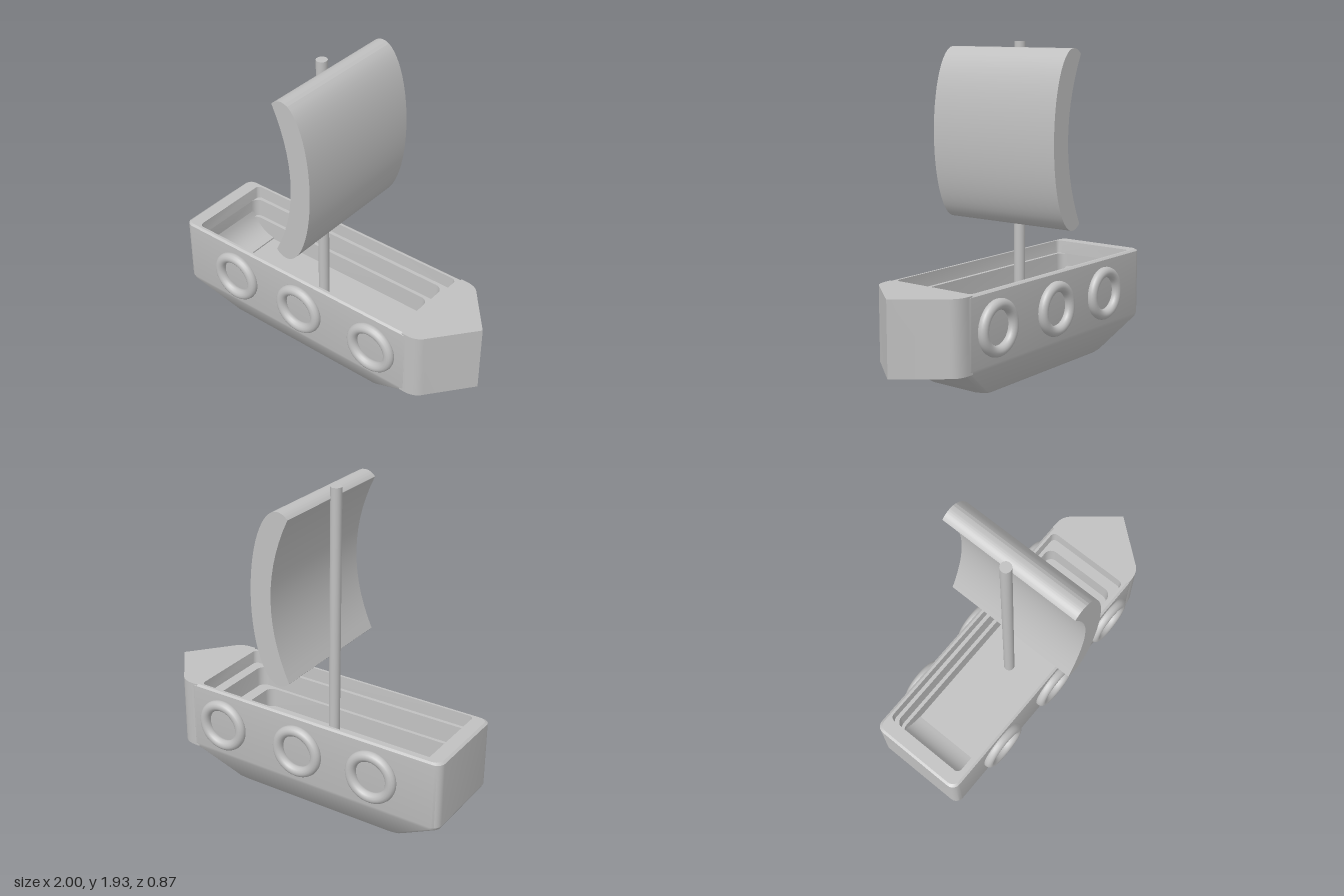
import * as THREE from 'three';
import { toCreasedNormals } from 'three/addons/utils/BufferGeometryUtils.js';

const CORNER = 6;

// Rounded rectangle at height y, running counterclockwise seen from above
function ring(y, x0, x1, hz, r) {
  const points = [];
  const centres = [[x1 - r, -hz + r], [x0 + r, -hz + r], [x0 + r, hz - r], [x1 - r, hz - r]];
  centres.forEach(([cx, cz], k) => {
    for (let i = 0; i <= CORNER; i++) {
      const a = (k + i / CORNER) * Math.PI / 2;
      points.push([cx + r * Math.cos(a), y, cz - r * Math.sin(a)]);
    }
  });
  return points;
}

// Skin through rings, closed with a cap at the first and last ring
function loft(rings) {
  const n = rings[0].length;
  const positions = rings.flat(2);
  const index = [];
  for (let j = 0; j < rings.length - 1; j++) {
    for (let i = 0; i < n; i++) {
      const a = j * n + i, b = j * n + (i + 1) % n;
      index.push(a, b, b + n, a, b + n, a + n);
    }
  }
  const last = (rings.length - 1) * n;
  for (let i = 1; i < n - 1; i++) {
    index.push(0, i + 1, i);
    index.push(last, last + i, last + i + 1);
  }
  const geometry = new THREE.BufferGeometry();
  geometry.setAttribute('position', new THREE.Float32BufferAttribute(positions, 3));
  geometry.setIndex(index);
  return toCreasedNormals(geometry, 0.45);
}

export function createModel() {
  const boat = new THREE.Group();
  boat.name = 'sailboat';
  const grey = new THREE.MeshStandardMaterial({ color: 0xc0c0c0 });
  grey.name = 'light grey';

  function add(name, geometry, x = 0, y = 0, z = 0) {
    const mesh = new THREE.Mesh(geometry, grey);
    mesh.name = name;
    mesh.position.set(x, y, z);
    boat.add(mesh);
    return mesh;
  }

  // Hull: tapered keel, straight sides, rim and stepped interior
  add('hull', loft([
    ring(0, -0.69, 0.42, 0.19, 0.05),
    ring(0.015, -0.735, 0.465, 0.205, 0.06),
    ring(0.19, -0.99, 0.71, 0.295, 0.05),
    ring(0.21, -1, 0.72, 0.3, 0.05),
    ring(0.61, -1, 0.72, 0.3, 0.05),
    ring(0.62, -0.985, 0.705, 0.287, 0.045),
    ring(0.62, -0.905, 0.64, 0.272, 0.03),
    ring(0.54, -0.9, 0.635, 0.268, 0.03),
    ring(0.54, -0.9, 0.57, 0.245, 0.05),
    ring(0.42, -0.9, 0.565, 0.24, 0.05),
    ring(0.42, -0.9, 0.49, 0.218, 0.05),
    ring(0.3, -0.9, 0.485, 0.215, 0.05),
  ]));

  // Pointed bow with softened shoulders
  const bow = new THREE.Shape();
  bow.moveTo(0.66, -0.298);
  bow.lineTo(0.7, -0.298);
  bow.quadraticCurveTo(0.765, -0.295, 0.795, -0.25);
  bow.lineTo(1, 0);
  bow.lineTo(0.795, 0.25);
  bow.quadraticCurveTo(0.765, 0.295, 0.7, 0.298);
  bow.lineTo(0.66, 0.298);
  const bowGeometry = new THREE.ExtrudeGeometry(bow, { depth: 0.43, bevelEnabled: false, curveSegments: 8 });
  bowGeometry.rotateX(-Math.PI / 2);
  add('bow', toCreasedNormals(bowGeometry, 0.45), 0, 0.19, 0);

  // Concave ramp at the stern end of the interior
  const ramp = new THREE.Shape();
  ramp.moveTo(-0.91, 0.29);
  ramp.lineTo(-0.74, 0.29);
  ramp.lineTo(-0.74, 0.31);
  ramp.quadraticCurveTo(-0.87, 0.33, -0.9, 0.46);
  ramp.lineTo(-0.91, 0.46);
  const rampGeometry = new THREE.ExtrudeGeometry(ramp, { depth: 0.44, bevelEnabled: false, curveSegments: 10 });
  add('sternRamp', toCreasedNormals(rampGeometry, 0.45), 0, 0, -0.22);

  // Ring portholes on both sides
  for (const side of [1, -1]) {
    for (const x of [-0.575, -0.078, 0.458]) {
      add('porthole', new THREE.TorusGeometry(0.131, 0.032, 14, 40), x, 0.408, side * 0.312);
    }
  }

  // Mast
  add('mast', new THREE.CylinderGeometry(0.033, 0.033, 1.65, 24), -0.135, 1.105, 0);

  // Billowing sail: a crescent extruded across the boat
  const sail = new THREE.Shape();
  sail.moveTo(-0.118, 0.915);
  sail.quadraticCurveTo(-0.09, 0.882, -0.05, 0.882);
  sail.absellipse(-0.05, 1.39, 0.18, 0.508, -Math.PI / 2, Math.PI / 2, false);
  sail.quadraticCurveTo(-0.09, 1.898, -0.118, 1.865);
  sail.quadraticCurveTo(0.114, 1.39, -0.118, 0.915);
  const sailGeometry = new THREE.ExtrudeGeometry(sail, { depth: 0.87, bevelEnabled: false, curveSegments: 14 });
  add('sail', toCreasedNormals(sailGeometry, 0.2), 0, 0, -0.437);

  return boat;
}
